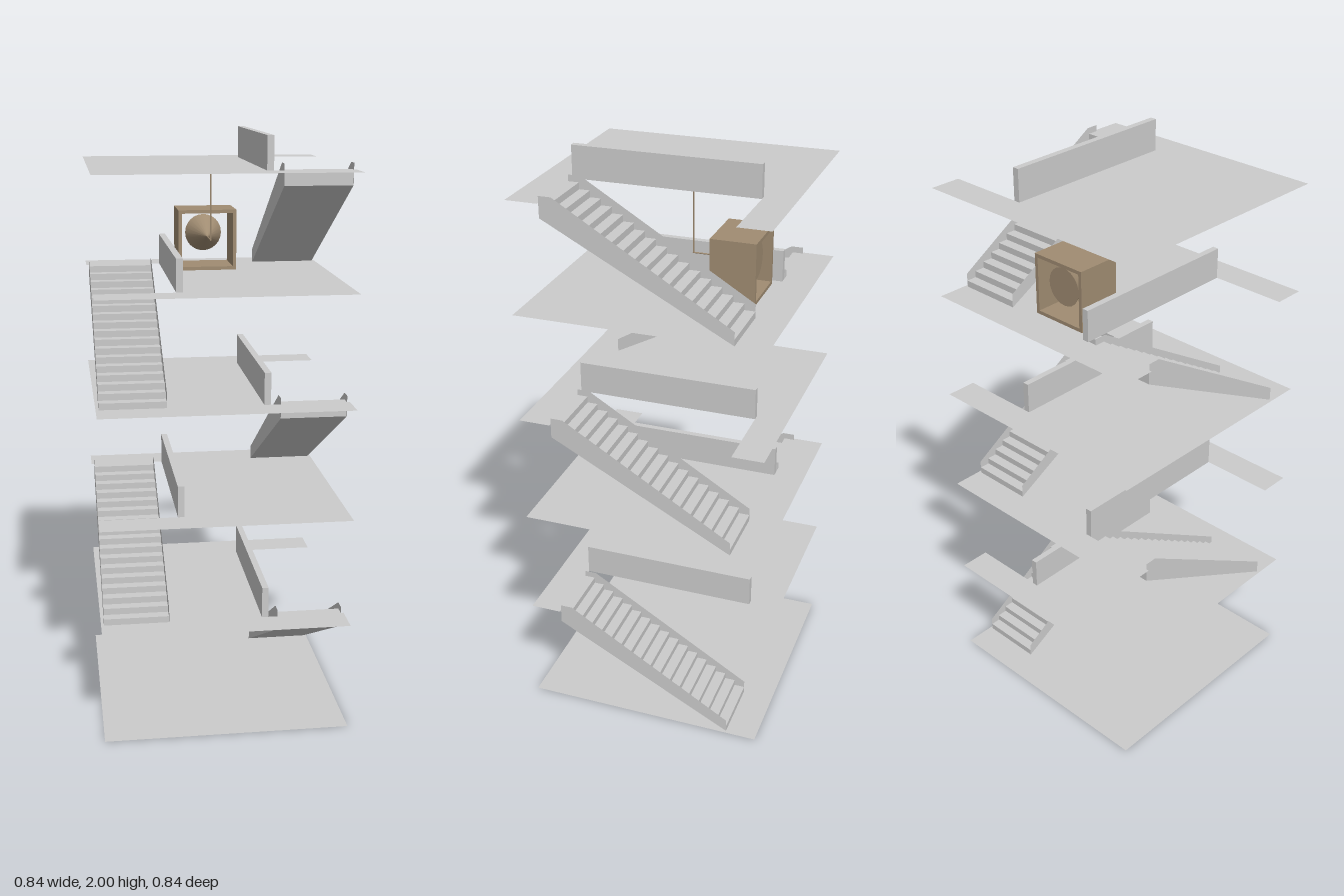
import * as THREE from 'three';

const HALF = 0.42;       // half width of a floor
const RISE = 0.3785;     // storey height
const WELL = 0.312;      // half length of the stair opening
const EDGE = 0.144;      // inner edge of the stair opening
const STEPS = 17;

const grey = new THREE.MeshStandardMaterial({ color: 0xcccccc, side: THREE.DoubleSide });
const wood = new THREE.MeshStandardMaterial({ color: 0xa08c72, side: THREE.DoubleSide });

function add(parent, name, geometry, material, x = 0, y = 0, z = 0) {
  const mesh = new THREE.Mesh(geometry, material);
  mesh.name = name;
  mesh.position.set(x, y, z);
  parent.add(mesh);
  return mesh;
}

function shapeOf(points) {
  return new THREE.Shape(points.map(([x, y]) => new THREE.Vector2(x, y)));
}

// Paper-thin floor, notched on its +x side when it has a stair opening
function floorGeometry(notched) {
  const points = [[-HALF, -HALF], [HALF, -HALF]];
  if (notched) points.push([HALF, -WELL], [EDGE, -WELL], [EDGE, WELL], [HALF, WELL]);
  points.push([HALF, HALF], [-HALF, HALF]);
  return new THREE.ShapeGeometry(shapeOf(points)).rotateX(-Math.PI / 2);
}

// One flight on the +x side, climbing from the back to the front
function stairFlight() {
  const flight = new THREE.Group();
  flight.name = 'stairFlight';
  const x0 = 0.188, x1 = 0.41;
  const run = (2 * WELL) / STEPS, riser = RISE / STEPS;

  // Profiles are drawn with horizontal = -z, so the flight starts at +WELL
  const profile = [[-WELL, 0.33], [WELL, 0]];
  for (let i = 0; i < STEPS; i++) {
    const y = (i + 1) * riser;
    profile.push([WELL - i * run, y], [WELL - (i + 1) * run, y]);
  }
  const steps = new THREE.ExtrudeGeometry(shapeOf(profile), { depth: x1 - x0, bevelEnabled: false });
  add(flight, 'steps', steps.rotateY(Math.PI / 2), grey, x0);

  // Thin side boards rising a little above the treads
  const board = shapeOf([[-WELL, 0.33], [WELL, 0], [WELL, 0.047], [-0.27, 0.4], [-WELL, 0.4]]);
  for (const x of [x0 - 0.0005, x1 + 0.0005]) {
    add(flight, 'sideBoard', new THREE.ShapeGeometry(board).rotateY(Math.PI / 2), grey, x);
  }
  return flight;
}

// Open-ended wooden crate with a round horn inside and a crank rod
function crate() {
  const group = new THREE.Group();
  group.name = 'crate';
  const w = 0.102, h = 0.21, t = 0.012, depth = 0.155;
  const frame = shapeOf([[-w, 0], [w, 0], [w, h], [-w, h]]);
  frame.holes.push(new THREE.Path([[-w + t, t], [-w + t, h - t], [w - t, h - t], [w - t, t]]
    .map(([x, y]) => new THREE.Vector2(x, y))));
  add(group, 'crateFrame', new THREE.ExtrudeGeometry(frame, { depth, bevelEnabled: false }), wood, 0, 0, -0.285);

  const cy = 0.117;
  add(group, 'horn', new THREE.ConeGeometry(0.065, 0.12, 24).rotateX(Math.PI / 2), wood, 0, cy, -0.2);
  add(group, 'axle', new THREE.CylinderGeometry(0.0025, 0.0025, 0.1, 8).rotateX(Math.PI / 2), wood, 0, cy, -0.09);
  add(group, 'uprightRod', new THREE.CylinderGeometry(0.0025, 0.0025, 0.253, 8), wood, 0, cy + 0.1265, -0.042);
  return group;
}

export function createModel() {
  const model = new THREE.Group();
  model.name = 'stairTower';
  add(model, 'groundFloor', floorGeometry(false), grey);

  // Each storey turns half round from the one below
  for (let i = 0; i < 5; i++) {
    const storey = new THREE.Group();
    storey.name = 'storey' + (i + 1);
    storey.position.y = i * RISE;
    storey.rotation.y = i % 2 ? Math.PI : 0;
    storey.add(stairFlight());
    add(storey, 'floor', floorGeometry(true), grey, 0, RISE, 0);
    add(storey, 'parapet', new THREE.BoxGeometry(0.022, 0.108, 2 * WELL), grey, EDGE, RISE + 0.054, 0);
    model.add(storey);
  }

  const box = crate();
  box.position.y = 4 * RISE + 0.001;
  model.add(box);
  return model;
}
